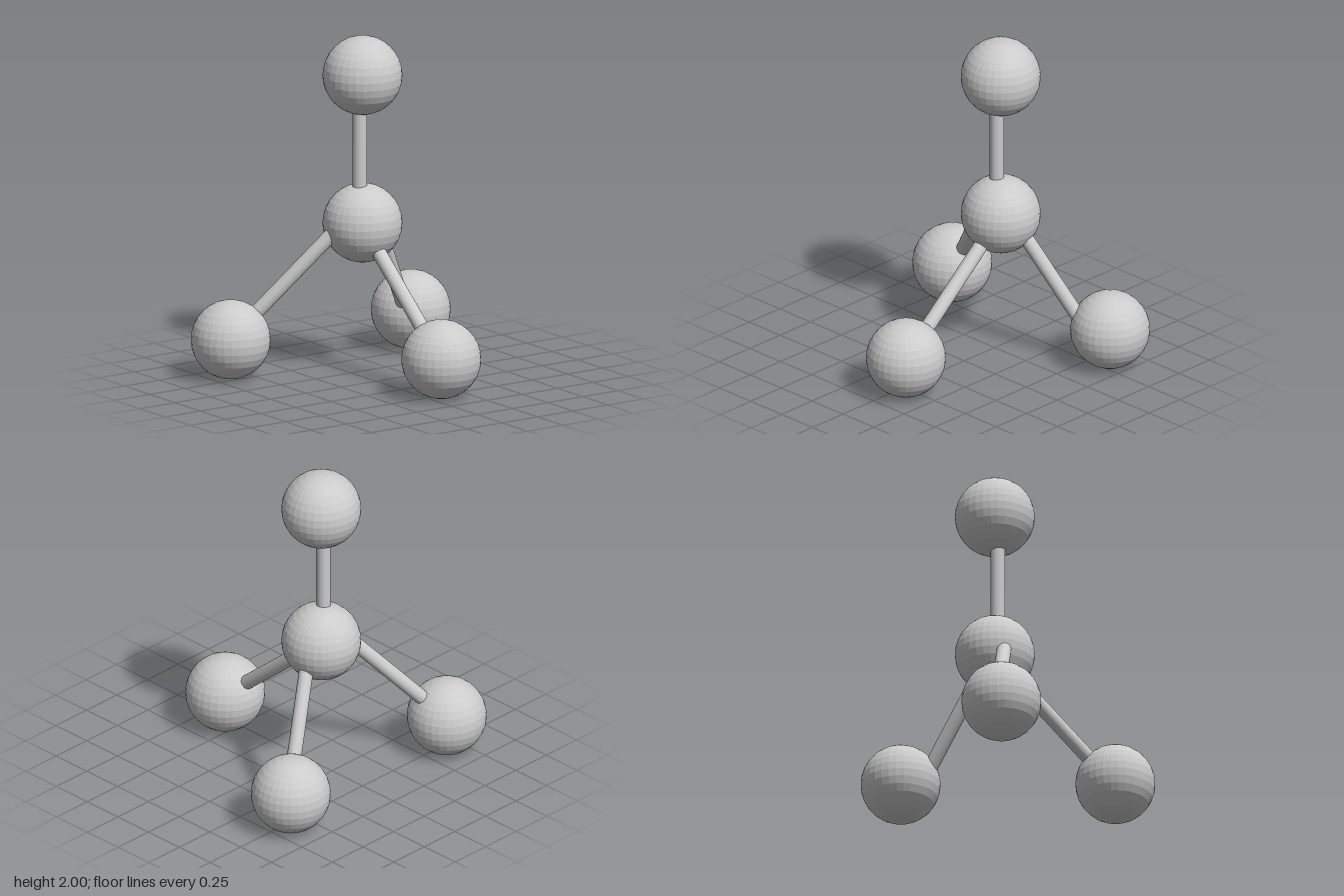
import * as THREE from 'three';

const BALL_RADIUS = 0.231;
const ROD_RADIUS = 0.042;

export function createModel() {
  const model = new THREE.Group();
  model.name = 'ballAndStickTetrahedron';
  const material = new THREE.MeshStandardMaterial({ color: 0xcccccc, flatShading: true });

  // Balls: one hub, one on top and three feet
  const ballGeometry = new THREE.SphereGeometry(BALL_RADIUS, 32, 16);
  const balls = {
    centreBall: [-0.231, 0.893, -0.068],
    topBall: [-0.231, 1.769, -0.068],
    leftBall: [0.55, 0.236, -0.068],
    frontBall: [-0.55, 0.236, 0.639],
    backBall: [-0.55, 0.236, -0.639],
  };
  for (const [name, position] of Object.entries(balls)) {
    const ball = new THREE.Mesh(ballGeometry, material);
    ball.name = name;
    ball.position.set(...position);
    model.add(ball);
  }

  // Rods: visible span from the hub outwards, each end sunk into its ball
  const SINK = 0.1;
  const rods = {
    topRod: [[-0.224, 1.1, -0.043], [-0.224, 1.56, -0.043]],
    leftRod: [[-0.068, 0.745, -0.069], [0.369, 0.374, -0.069]],
    frontRod: [[-0.286, 0.808, 0.151], [-0.489, 0.4, 0.485]],
    backRod: [[-0.274, 0.771, -0.236], [-0.411, 0.363, -0.47]],
  };
  for (const [name, [from, to]] of Object.entries(rods)) {
    const start = new THREE.Vector3(...from);
    const end = new THREE.Vector3(...to);
    const length = start.distanceTo(end) + 2 * SINK;
    const rod = new THREE.Mesh(
      new THREE.CylinderGeometry(ROD_RADIUS, ROD_RADIUS, length, 32), material);
    rod.name = name;
    rod.position.lerpVectors(start, end, 0.5);
    rod.quaternion.setFromUnitVectors(
      new THREE.Vector3(0, 1, 0), end.sub(start).normalize());
    model.add(rod);
  }
  return model;
}
